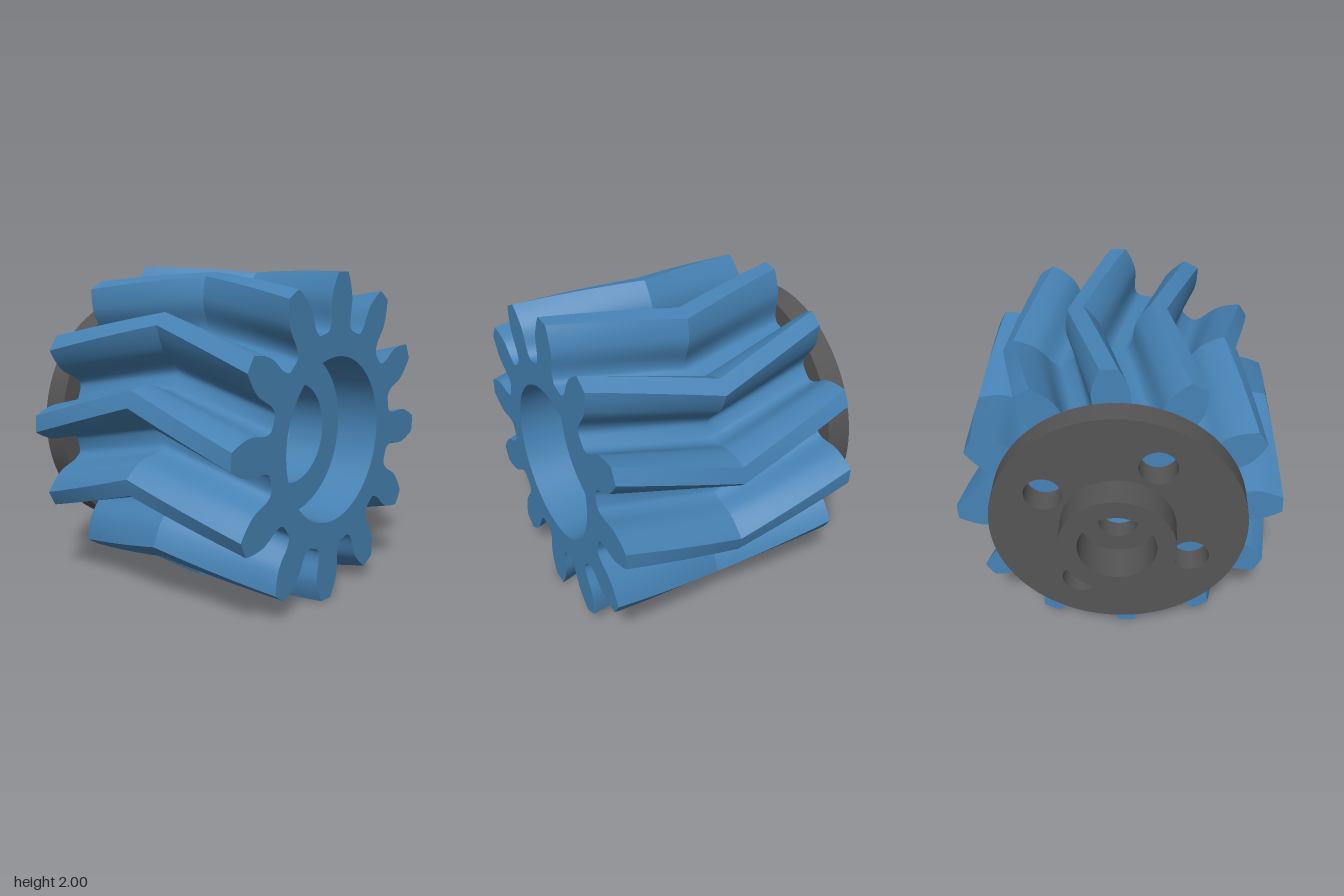
import * as THREE from 'three';
import { toCreasedNormals } from 'three/addons/utils/BufferGeometryUtils.js';

const TEETH = 12, FRONT = 0.955, BACK = -0.6, APEX = 0.178;
const RAD = Math.PI / 180;
const TWIST = 14 * RAD;

// Closed counter-clockwise gear outline
function gearOutline() {
  // Flank from tip to root: x = degrees from the tooth centre / 30, y = radius
  const flank = new THREE.SplineCurve([
    [3, 1], [5.3, 0.935], [7.4, 0.86], [8, 0.8], [8.1, 0.74], [8.8, 0.7], [10.3, 0.672], [12.5, 0.662],
  ].map(([a, r]) => new THREE.Vector2(a / 30, r))).getSpacedPoints(18);
  const points = [];
  const add = (deg, r) => points.push(new THREE.Vector2(Math.cos(deg * RAD) * r, Math.sin(deg * RAD) * r));
  for (let k = 0; k < TEETH; k++) {
    const centre = 87 + k * 360 / TEETH;
    [...flank].reverse().forEach(p => add(centre - p.x * 30, p.y));
    add(centre, 1);
    flank.forEach(p => add(centre + p.x * 30, p.y));
  }
  return points;
}

// Herringbone side wall: the outline turns towards the apex and back again
function toothWall(outline) {
  const levels = [];
  const steps = 6;
  for (let i = 0; i <= steps; i++) levels.push([BACK + (APEX - BACK) * i / steps, i / steps]);
  for (let i = 1; i <= steps; i++) levels.push([APEX + (FRONT - APEX) * i / steps, 1 - i / steps]);
  const n = outline.length, positions = [], index = [];
  levels.forEach(([z, t], row) => {
    const c = Math.cos(-TWIST * t), s = Math.sin(-TWIST * t);
    outline.forEach((p, i) => {
      positions.push(p.x * c - p.y * s, p.x * s + p.y * c, z);
      if (row === 0) return;
      const a = (row - 1) * n + i, b = (row - 1) * n + (i + 1) % n;
      index.push(a, b, b + n, a, b + n, a + n);
    });
  });
  const geometry = new THREE.BufferGeometry();
  geometry.setAttribute('position', new THREE.Float32BufferAttribute(positions, 3));
  geometry.setIndex(index);
  return toCreasedNormals(geometry, 0.4);
}

function circleHole(x, y, r) {
  return new THREE.Path().absarc(x, y, r, 0, Math.PI * 2, true);
}

function endFace(outline, holeRadius, z, flip) {
  const shape = new THREE.Shape(outline);
  shape.holes.push(circleHole(0, 0, holeRadius));
  const geometry = new THREE.ShapeGeometry(shape, 48);
  if (flip) {
    geometry.index.array.reverse();
    geometry.computeVertexNormals();
  }
  return geometry.translate(0, 0, z);
}

// Turned surface about the z axis from [radius, z] pairs
function turned(profile) {
  const points = profile.map(([r, z]) => new THREE.Vector2(r, z));
  return toCreasedNormals(new THREE.LatheGeometry(points, 96).rotateX(Math.PI / 2), 0.25);
}

export function createModel() {
  const model = new THREE.Group();
  model.name = 'herringbonePinion';
  const blue = new THREE.MeshStandardMaterial({ color: 0x4682b4 });
  const grey = new THREE.MeshStandardMaterial({ color: 0x555555 });
  const add = (name, geometry, material) => {
    const mesh = new THREE.Mesh(geometry, material);
    mesh.name = name;
    mesh.position.y = 1;
    model.add(mesh);
  };

  // Gear body
  const outline = gearOutline();
  add('gearTeeth', toothWall(outline), blue);
  add('gearFrontFace', endFace(outline, 0.505, FRONT, false), blue);
  add('gearBackFace', endFace(outline, 0.12, BACK, true), blue);

  // Stepped recess tapering to the through hole
  add('gearBore', turned([
    [0.505, FRONT], [0.505, 0.67], [0.31, 0.67], [0.31, 0.42], [0.12, -0.1], [0.12, BACK],
  ]), blue);

  // Mounting flange with four bolt holes
  const disc = new THREE.Shape().absarc(0, 0, 0.78, 0, Math.PI * 2, false);
  disc.holes.push(circleHole(0, 0, 0.3));
  for (let k = 0; k < 4; k++) {
    const a = (27.8 + 90 * k) * RAD;
    disc.holes.push(circleHole(-0.5 * Math.sin(a), 0.5 * Math.cos(a), 0.115));
  }
  const flange = new THREE.ExtrudeGeometry(disc, { depth: 0.16, bevelEnabled: false, curveSegments: 64 });
  add('flange', toCreasedNormals(flange.translate(0, 0, -0.76), 0.4), grey);

  // Hub boss with counterbore
  add('hubBoss', turned([
    [0.12, BACK], [0.12, -0.72], [0.235, -0.72], [0.235, -0.955], [0.35, -0.955], [0.35, -0.76],
  ]), grey);

  return model;
}
